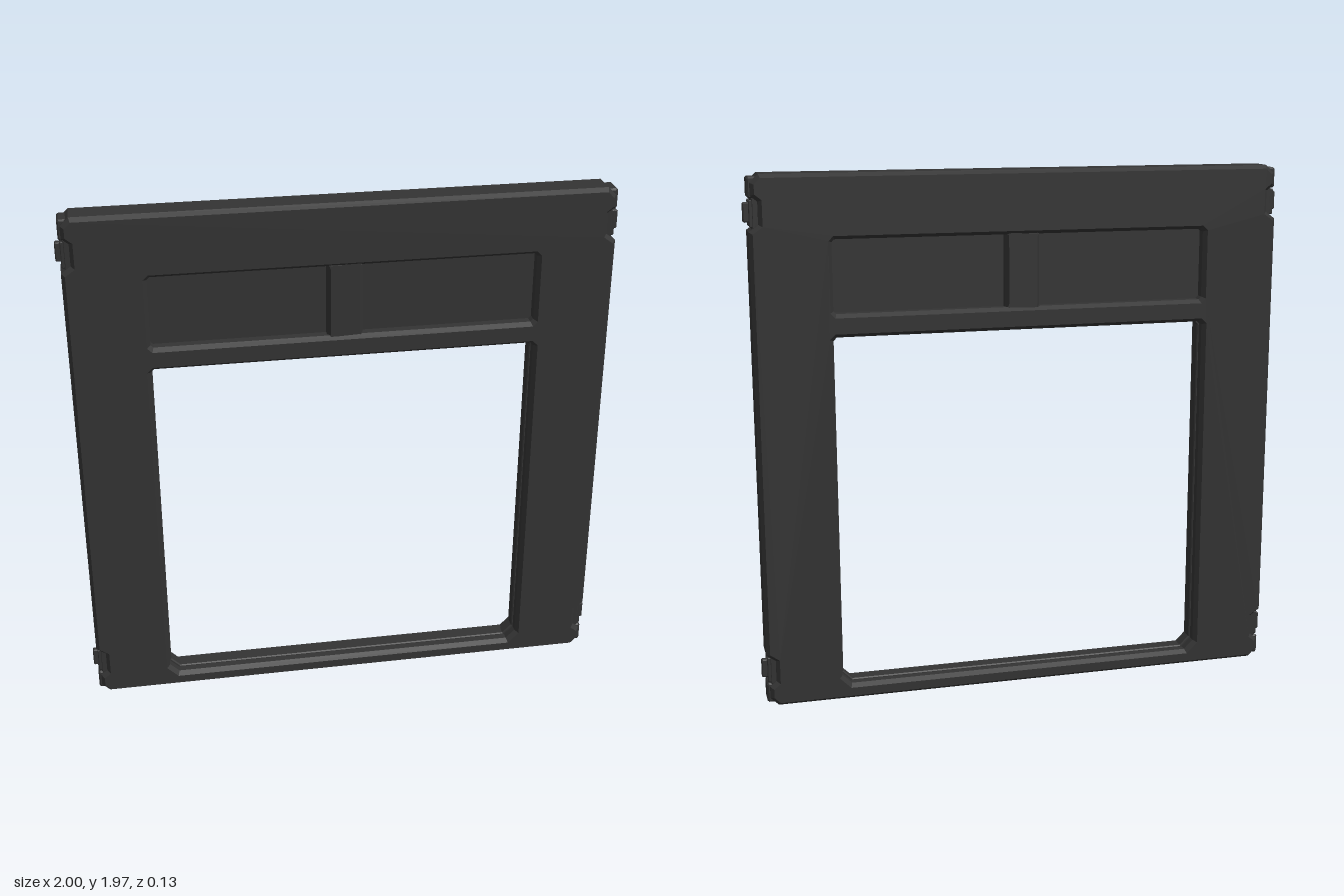
import * as THREE from 'three';

const mat = new THREE.MeshStandardMaterial({ color: 0x333333, flatShading: true });

// closed rectangle with separate corner cuts at the bottom and the top
function cutRect(Type, x0, y0, x1, y1, cb, ct = cb) {
  const p = [
    [x0 + cb, y0], [x1 - cb, y0], [x1, y0 + cb], [x1, y1 - ct],
    [x1 - ct, y1], [x0 + ct, y1], [x0, y1 - ct], [x0, y0 + cb],
  ];
  return new Type(p.map(([x, y]) => new THREE.Vector2(x, y)));
}

// extrusion centred on z = 0, chamfered inside its own outline
function slab(name, shape, depth, bevel, bevelDepth = bevel) {
  const geo = new THREE.ExtrudeGeometry(shape, {
    depth: depth - 2 * bevelDepth, bevelEnabled: true, bevelSegments: 1,
    bevelSize: bevel, bevelOffset: -bevel, bevelThickness: bevelDepth,
  });
  geo.translate(0, 0, -depth / 2 + bevelDepth);
  const mesh = new THREE.Mesh(geo, mat);
  mesh.name = name;
  return mesh;
}

export function createModel() {
  const model = new THREE.Group();
  model.name = 'wallFrame';
  const W = 0.985, H = 1.965, D = 0.13;

  // main frame outline, with a hinge notch near each corner
  const half = [
    [0.945, 0], [W - 0.01, 0.03], [W - 0.01, 0.075], [0.95, 0.095], [0.95, 0.175], [W, 0.2],
    [W, 1.765], [0.95, 1.79], [0.95, 1.87], [W - 0.01, 1.89], [W - 0.01, 1.935], [0.945, H],
  ];
  const outline = [...half, ...half.map(([x, y]) => [-x, y]).reverse()];
  const frame = new THREE.Shape(outline.map(([x, y]) => new THREE.Vector2(x, y)));
  frame.holes.push(
    cutRect(THREE.Path, -0.703, 0.058, 0.703, 1.383, 0.035, 0.012),
    cutRect(THREE.Path, -0.698, 1.467, 0.698, 1.733, 0.01),
  );
  model.add(slab('frame', frame, D, 0.013, 0.018));

  // raised stop running round the middle of the opening
  const stop = cutRect(THREE.Shape, -0.71, 0.052, 0.71, 1.39, 0.035, 0.012);
  stop.holes.push(cutRect(THREE.Path, -0.696, 0.064, 0.696, 1.377, 0.035, 0.012));
  model.add(slab('openingStop', stop, 0.04, 0.004));

  // recessed upper panels and the bar between them
  const panel = new THREE.Mesh(new THREE.BoxGeometry(1.41, 0.28, 0.03), mat);
  panel.name = 'upperPanel';
  panel.position.y = 1.6;
  model.add(panel);
  model.add(slab('panelDivider', cutRect(THREE.Shape, -0.065, 1.455, 0.065, 1.745, 0.002), 0.105, 0.012, 0.02));

  // corner blocks and clips, repeated at all four corners
  for (const side of [-1, 1]) {
    for (const top of [false, true]) {
      const corner = new THREE.Group();
      corner.name = (side > 0 ? 'left' : 'right') + (top ? 'Top' : 'Bottom') + 'Corner';
      const place = (y) => (top ? H - y : y);
      const part = (name, x0, x1, y0, y1, depth, bevel) => {
        const a = Math.min(side * x0, side * x1), b = Math.max(side * x0, side * x1);
        const c = Math.min(place(y0), place(y1)), d = Math.max(place(y0), place(y1));
        corner.add(slab(name, cutRect(THREE.Shape, a, c, b, d, bevel), depth, bevel));
      };
      part('cornerBlock', 0.93, W, 0.01, 0.085, 0.08, 0.006);
      part('clipBase', 0.93, 0.972, 0.08, 0.2, 0.08, 0.005);
      part('clip', 0.95, 1.0, 0.1, 0.17, 0.024, 0.004);
      // cheeks either side of the clip
      for (const z of [-0.031, 0.031]) {
        part('clipCheek', 0.95, 0.981, 0.09, 0.185, 0.014, 0.003);
        corner.children.at(-1).position.z = z;
      }
      model.add(corner);
    }
  }
  return model;
}
